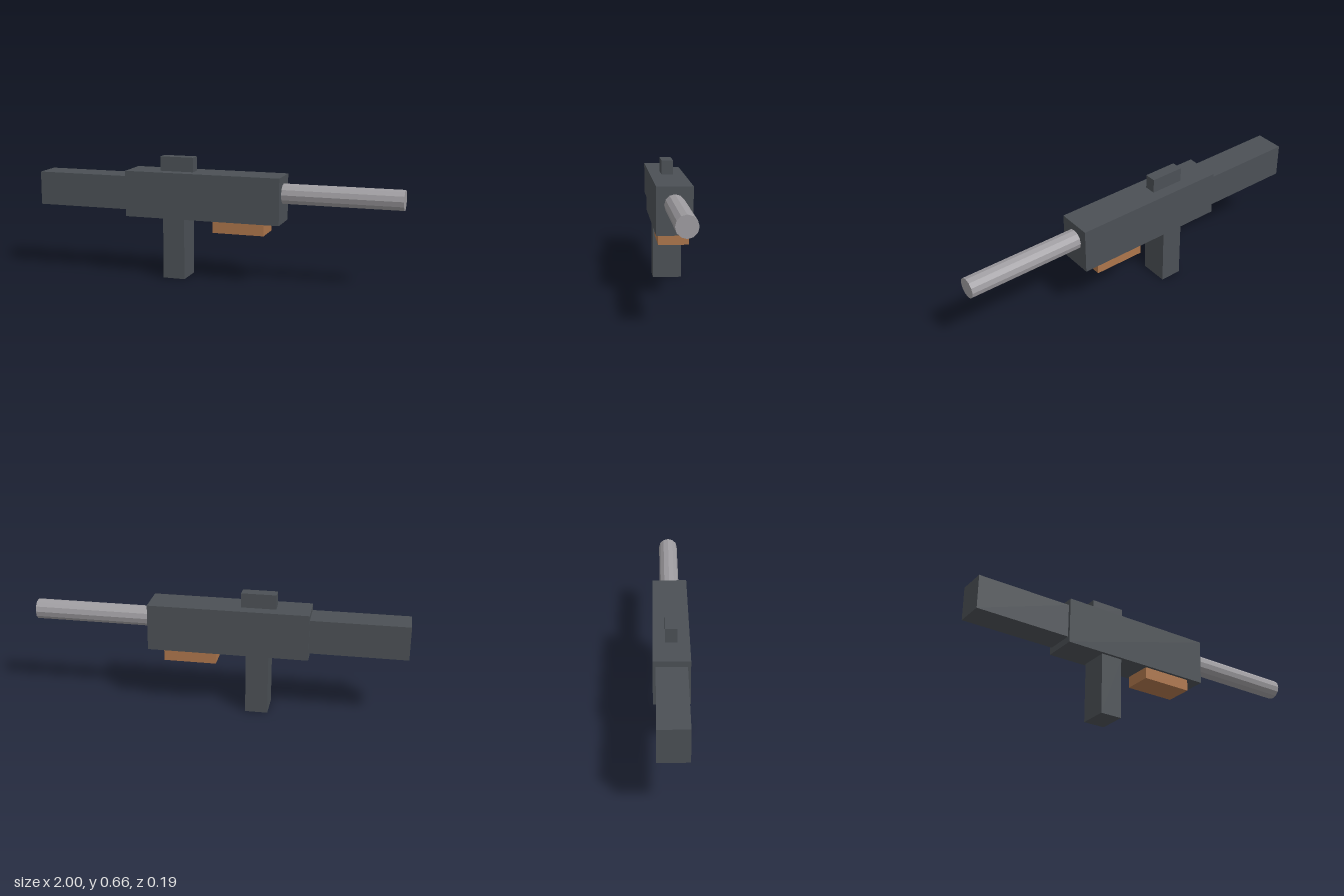
import * as THREE from 'three';

const gunmetal = new THREE.MeshStandardMaterial({ name: 'gunmetal', color: 0x4b5055 });
const steel = new THREE.MeshStandardMaterial({ name: 'steel', color: 0x9e9ca0, flatShading: true });
const wood = new THREE.MeshStandardMaterial({ name: 'wood', color: 0xac754b });

// Box given by its x and y limits and its full depth, centred on z = 0
function block(name, x0, x1, y0, y1, depth, material) {
  const mesh = new THREE.Mesh(new THREE.BoxGeometry(x1 - x0, y1 - y0, depth), material);
  mesh.position.set((x0 + x1) / 2, (y0 + y1) / 2, 0);
  mesh.name = name;
  return mesh;
}

export function createModel() {
  const model = new THREE.Group();
  model.name = 'blaster';

  model.add(
    block('receiver', -0.485, 0.37, 0.33, 0.578, 0.187, gunmetal),
    block('stock', -1, -0.485, 0.365, 0.547, 0.156, gunmetal),
    block('grip', -0.275, -0.155, 0, 0.33, 0.156, gunmetal),
    block('sight', -0.305, -0.12, 0.578, 0.656, 0.062, gunmetal),
    block('foregrip', 0.005, 0.285, 0.267, 0.33, 0.156, wood)
  );

  // Twelve-sided barrel along x
  const barrel = new THREE.Mesh(new THREE.CylinderGeometry(0.054, 0.054, 0.63, 12), steel);
  barrel.rotation.z = -Math.PI / 2;
  barrel.position.set(0.685, 0.485, 0);
  barrel.name = 'barrel';
  model.add(barrel);

  return model;
}
